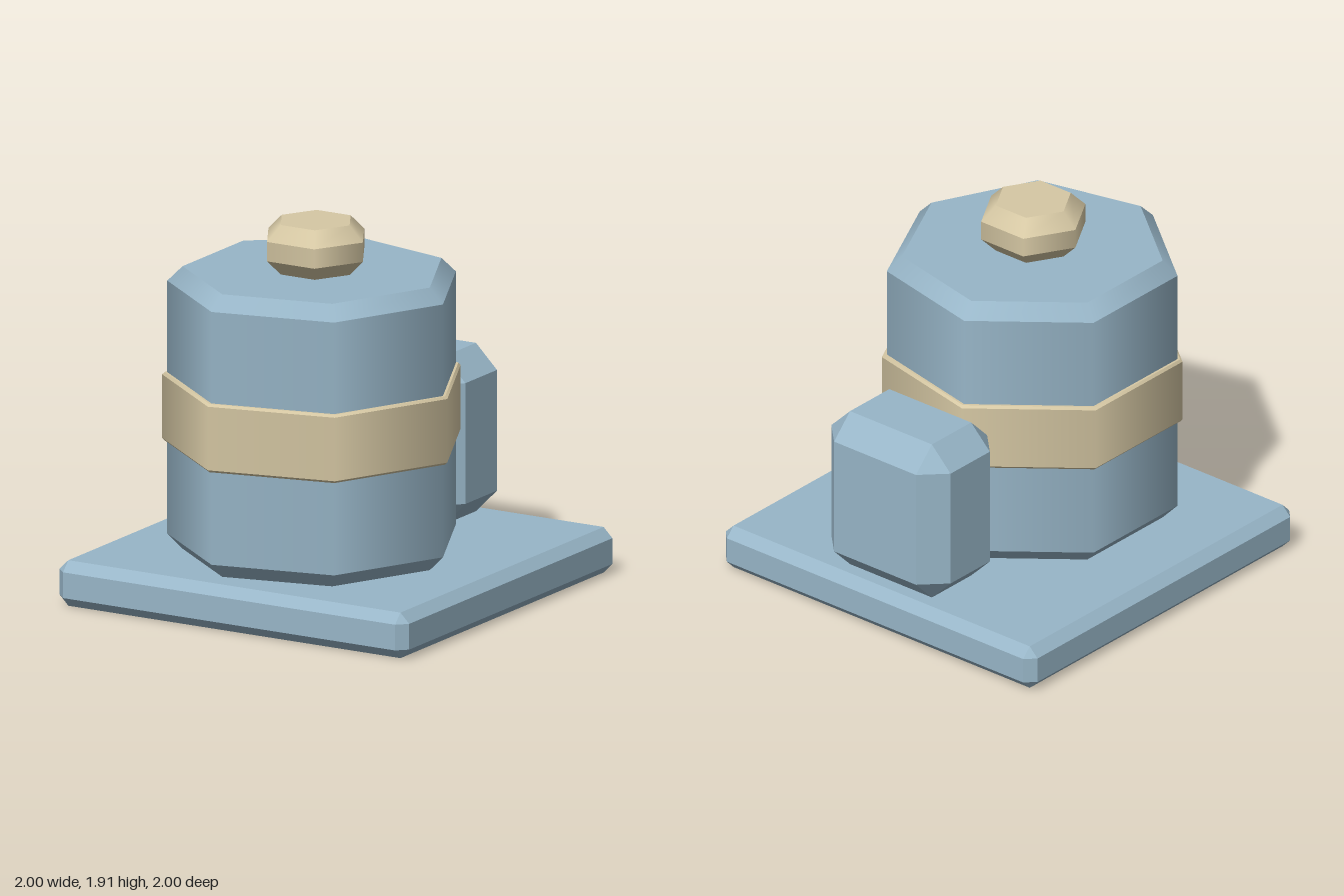
import * as THREE from 'three';
import { mergeGeometries } from 'three/addons/utils/BufferGeometryUtils.js';
import { ConvexGeometry } from 'three/addons/geometries/ConvexGeometry.js';

// Box with every edge and corner chamfered by c
function chamferBox(w, h, d, c) {
  const points = [];
  for (const sx of [-1, 1]) for (const sy of [-1, 1]) for (const sz of [-1, 1]) {
    const x = w / 2, y = h / 2, z = d / 2;
    points.push(
      new THREE.Vector3(sx * x, sy * (y - c), sz * (z - c)),
      new THREE.Vector3(sx * (x - c), sy * y, sz * (z - c)),
      new THREE.Vector3(sx * (x - c), sy * (y - c), sz * z)
    );
  }
  return new ConvexGeometry(points);
}

// Chamfered prism: smooth around its sides, sharp at the chamfers
function chamferPrism(sides, radius, y0, y1, c) {
  const profile = [[radius - c, y0], [radius, y0 + c], [radius, y1 - c], [radius - c, y1]];
  const parts = [];
  for (let i = 0; i < 3; i++) {
    const [r0, a] = profile[i], [r1, b] = profile[i + 1];
    parts.push(new THREE.CylinderGeometry(r1, r0, b - a, sides, 1, true, Math.PI / 2)
      .translate(0, (a + b) / 2, 0));
  }
  // End caps, with one corner on +x like the walls
  parts.push(new THREE.CircleGeometry(radius - c, sides).rotateX(-Math.PI / 2).translate(0, y1, 0));
  parts.push(new THREE.CircleGeometry(radius - c, sides).rotateX(Math.PI / 2).translate(0, y0, 0));
  return mergeGeometries(parts);
}

export function createModel() {
  const model = new THREE.Group();
  const blue = new THREE.MeshStandardMaterial({ color: 0x98b6c8 });
  blue.name = 'steelBlue';
  const tan = new THREE.MeshStandardMaterial({ color: 0xd6c8a4 });
  tan.name = 'sandTan';

  const add = (name, geometry, material, y, z) => {
    const mesh = new THREE.Mesh(geometry, material);
    mesh.name = name;
    mesh.position.set(0, y, z);
    model.add(mesh);
  };

  // Plinth and the box standing at its rear edge
  add('basePlate', chamferBox(2, 0.23, 2, 0.05), blue, 0.115, 0);
  add('rearBox', chamferBox(0.765, 0.85, 0.535, 0.12), blue, 0.655, -0.7325);

  // Seven-sided tank with its belt, and a hexagonal cap on top
  const tankZ = 0.19;
  add('tank', chamferPrism(7, 0.728, 0.23, 1.657, 0.075), blue, 0, tankZ);
  add('belt', chamferPrism(7, 0.753, 0.775, 1.12, 0.012), tan, 0, tankZ);
  add('cap', chamferPrism(6, 0.27, 1.657, 1.907, 0.076), tan, 0, tankZ);

  return model;
}
